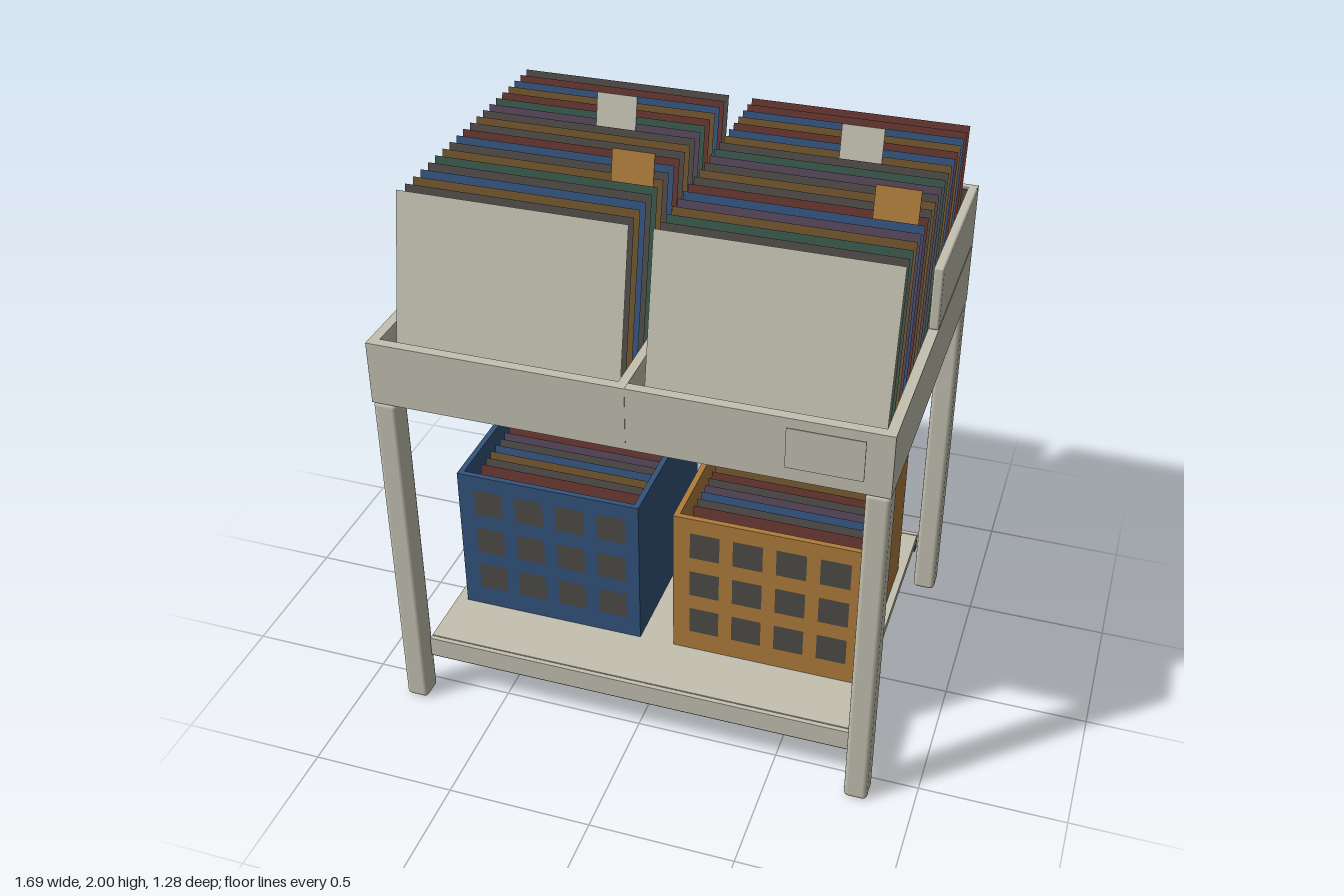
import * as THREE from 'three';
import { RoundedBoxGeometry } from 'three/addons/geometries/RoundedBoxGeometry.js';

const mat = (name, color, side = THREE.FrontSide) => {
  const m = new THREE.MeshStandardMaterial({ color, side });
  m.name = name;
  return m;
};

export function createModel() {
  const root = new THREE.Group();
  root.name = 'recordBrowserStand';
  const D = THREE.DoubleSide;
  const pale = mat('pale grey', 0xc4c1b1);
  const dark = mat('charcoal', 0x4e4b47, D);
  const blue = mat('blue', 0x33537d, D);
  const orange = mat('orange', 0xb07d3c, D);
  const red = mat('dark red', 0x653630, D);
  const brown = mat('brown', 0x70542d, D);
  const teal = mat('dark green', 0x38584c, D);
  const purple = mat('dull purple', 0x54465a, D);
  const byLetter = { k: dark, r: red, b: blue, n: brown, t: teal, p: purple };

  const add = (parent, name, geo, material, x = 0, y = 0, z = 0) => {
    const m = new THREE.Mesh(geo, material);
    m.name = name;
    m.position.set(x, y, z);
    parent.add(m);
    return m;
  };
  // box given by its limits on each axis, rounded when a radius is given
  const box = (parent, name, material, x0, x1, y0, y1, z0, z1, r = 0) => {
    const size = [x1 - x0, y1 - y0, z1 - z0];
    const geo = r ? new RoundedBoxGeometry(...size, 2, r) : new THREE.BoxGeometry(...size);
    return add(parent, name, geo, material, (x0 + x1) / 2, (y0 + y1) / 2, (z0 + z1) / 2);
  };
  const group = (name) => {
    const g = new THREE.Group();
    g.name = name;
    root.add(g);
    return g;
  };

  // upright sheet leaning back, placed by its top edge
  const SLOPE = 0.2;
  const sheet = (parent, name, material, x, w, yBottom, yTop, zTop, thick = 0) => {
    const rise = yTop - yBottom, len = rise * Math.hypot(1, SLOPE);
    const geo = thick ? new THREE.BoxGeometry(w, len, thick) : new THREE.PlaneGeometry(w, len);
    const m = add(parent, name, geo, material, x, (yTop + yBottom) / 2, zTop + rise * SLOPE / 2);
    m.rotation.x = -Math.atan(SLOPE);
  };

  // legs
  for (const sx of [-1, 1]) for (const z of [0.572, -0.592])
    add(root, 'leg', new RoundedBoxGeometry(0.08, 1.255, 0.085, 2, 0.016), pale, sx * 0.805, 0.6275, z);

  // lower shelf with front and back lips, dark underneath
  const shelf = group('lowerShelf');
  box(shelf, 'shelfPlate', pale, -0.76, 0.76, 0.208, 0.24, -0.56, 0.54);
  box(shelf, 'shelfUnderside', dark, -0.759, 0.759, 0.204, 0.208, -0.55, 0.54);
  for (const [z, s] of [[0.552, 1], [-0.572, -1]]) {
    box(shelf, 'shelfLip', pale, -0.76, 0.76, 0.166, 0.24, z - 0.008, z + 0.008);
    box(shelf, 'shelfLipLining', dark, -0.759, 0.759, 0.165, 0.208, z - s * 0.011 - 0.004, z - s * 0.011 + 0.004);
    box(shelf, 'shelfLipUnderside', dark, -0.759, 0.759, 0.163, 0.166, z - 0.008, z + 0.008);
  }

  // tray: floor, walls, raised back half and central divider
  const tray = group('tray');
  box(tray, 'trayBase', pale, -0.845, 0.845, 1.255, 1.28, -0.635, 0.615);
  box(tray, 'trayFloor', dark, -0.81, 0.81, 1.28, 1.285, -0.605, 0.58);
  box(tray, 'trayFront', pale, -0.845, 0.845, 1.28, 1.475, 0.58, 0.615);
  box(tray, 'trayBack', pale, -0.845, 0.845, 1.28, 1.697, -0.635, -0.61);
  box(tray, 'backLining', dark, -0.812, 0.812, 1.285, 1.69, -0.61, -0.606);
  for (const s of [-1, 1]) {
    const x0 = s > 0 ? 0.812 : -0.845, x1 = x0 + 0.033;
    box(tray, 'traySide', pale, x0, x1, 1.28, 1.475, -0.61, 0.58);
    box(tray, 'raisedSide', pale, x0, x1, 1.474, 1.697, -0.634, -0.015, 0.008);
  }
  box(tray, 'divider', pale, -0.015, 0.015, 1.28, 1.476, -0.61, 0.617);
  box(tray, 'raisedDivider', pale, -0.019, 0.019, 1.45, 1.698, -0.64, -0.015, 0.009);
  box(root, 'frontLabelPlate', pale, 0.525, 0.765, 1.32, 1.46, 0.641, 0.645);

  // two bins of sleeves, each with a pale cover on the front sleeve
  const PITCH = 0.0545;
  const bins = [
    ['rightBin', -0.42, 0, 'krbnrtpknkrbkntkbnkr'],
    ['leftBin', 0.418, 0.835, 'rrbnrbnktpknkrbpntkb'],
  ];
  for (const [name, x, tabShift, order] of bins) {
    const g = group(name);
    [...order].forEach((c, i) =>
      sheet(g, 'sleeve', byLetter[c], x, 0.755, 1.29, 1.905, -0.64 + i * PITCH));
    sheet(g, 'frontCover', pale, x, 0.76, 1.29, 1.91, -0.637 + (order.length - 1) * PITCH);
    // tall narrow tabs standing between the sleeves
    sheet(g, 'dividerTab', orange, -0.132 + tabShift, 0.14, 1.3, 2, 0.087, 0.004);
    sheet(g, 'dividerTab', pale, -0.332 + tabShift, 0.14, 1.3, 2, -0.316, 0.004);
  }

  // open crates filled with sleeves
  const crate = (name, material, cx, order) => {
    const g = group(name);
    g.position.x = cx;
    const h = 0.333, t = 0.02, y0 = 0.24, y1 = 0.805, zb = -0.34, zf = 0.322;
    box(g, 'crateBottom', material, -h, h, y0, y0 + t, zb, zf);
    box(g, 'crateFront', material, -h, h, y0, y1, zf - t, zf);
    box(g, 'crateBack', material, -h, h, y0, y1, zb, zb + t);
    box(g, 'crateSide', material, -h, -h + t, y0, y1, zb + t, zf - t);
    box(g, 'crateSide', material, h - t, h, y0, y1, zb + t, zf - t);
    // grid of dark square openings on the front
    for (let c = 0; c < 4; c++) for (let r = 0; r < 3; r++)
      add(g, 'squareOpening', new THREE.PlaneGeometry(0.104, 0.104), dark,
        (c - 1.5) * 0.151 + 0.006, 0.371 + r * 0.162, zf + 0.002);
    [...order].forEach((c, i) =>
      sheet(g, 'crateSleeve', byLetter[c], 0, 0.6, 0.27, 0.765, -0.31 + i * 0.042));
  };
  crate('blueCrate', blue, -0.387, 'krbnktrpkbnkr');
  crate('orangeCrate', orange, 0.402, 'nkrtkbnrkpbkr');

  return root;
}
